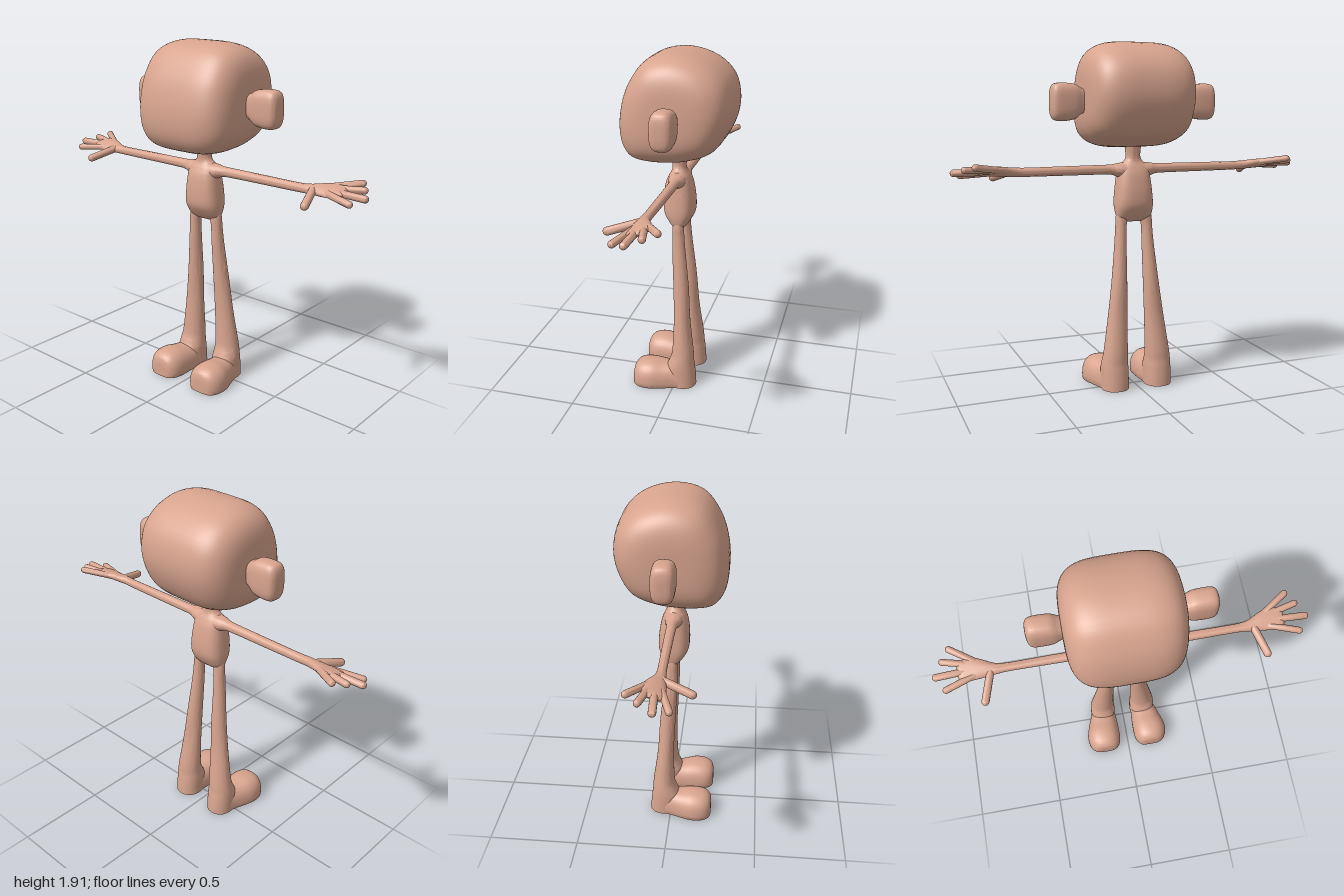
import * as THREE from 'three';
import { toCreasedNormals } from 'three/addons/utils/BufferGeometryUtils.js';

const skin = new THREE.MeshStandardMaterial({ color: 0xd8a48e });
const spow = (v, p) => Math.sign(v) * Math.abs(v) ** p;

// Closed skin over a list of rings, each turning counterclockwise around the direction of travel
function skinRings(rings) {
  const n = rings[0].length, pos = [], idx = [];
  rings.forEach(r => r.forEach(p => pos.push(p.x, p.y, p.z)));
  for (let i = 0; i < rings.length - 1; i++) {
    for (let j = 0; j < n; j++) {
      const k = (j + 1) % n, a = i * n + j, b = i * n + k;
      idx.push(a, b, b + n, a, b + n, a + n);
    }
  }
  [0, rings.length - 1].forEach(i => {
    const c = rings[i].reduce((s, p) => s.add(p), new THREE.Vector3()).divideScalar(n);
    const ci = pos.length / 3;
    pos.push(c.x, c.y, c.z);
    for (let j = 0; j < n; j++) {
      const a = i * n + j, b = i * n + (j + 1) % n;
      if (i === 0) idx.push(ci, b, a); else idx.push(ci, a, b);
    }
  });
  const g = new THREE.BufferGeometry();
  g.setAttribute('position', new THREE.Float32BufferAttribute(pos, 3));
  g.setIndex(idx);
  return g;
}

// Smooth loft of superellipses. Section: [t, a, b, radiusA, radiusB, exponent]
// with (t, a, b) = (x, y, z), (y, z, x) or (z, x, y) for axis x, y or z
function loft(axis, sections, adjust = () => {}) {
  const steps = 6, sides = 36, rings = [];
  const at = u => {
    const i = Math.min(Math.floor(u), sections.length - 2), f = u - i;
    const s = k => sections[THREE.MathUtils.clamp(k, 0, sections.length - 1)];
    return sections[0].map((_, c) => {
      const [p, q, r, w] = [s(i - 1)[c], s(i)[c], s(i + 1)[c], s(i + 2)[c]];
      const m0 = (r - p) / 2, m1 = (w - q) / 2;
      return q + f * (m0 + f * (3 * (r - q) - 2 * m0 - m1 + f * (2 * (q - r) + m0 + m1)));
    });
  };
  for (let k = 0; k <= (sections.length - 1) * steps; k++) {
    const [t, a, b, ra, rb, e] = at(k / steps), ring = [];
    for (let j = 0; j < sides; j++) {
      const th = j / sides * Math.PI * 2;
      const A = a + ra * spow(Math.cos(th), 2 / e), B = b + rb * spow(Math.sin(th), 2 / e);
      const p = axis === 'x' ? new THREE.Vector3(t, A, B)
        : axis === 'y' ? new THREE.Vector3(B, t, A) : new THREE.Vector3(A, B, t);
      adjust(p);
      ring.push(p);
    }
    rings.push(ring);
  }
  return skinRings(rings);
}

// Rounded finger between two points
function finger(from, to, r) {
  const a = new THREE.Vector3(...from), d = new THREE.Vector3(...to).sub(a), len = d.length();
  const g = new THREE.CapsuleGeometry(r, len - r, 8, 16);
  g.translate(0, (len - r) / 2, 0);
  g.applyQuaternion(new THREE.Quaternion().setFromUnitVectors(new THREE.Vector3(0, 1, 0), d.normalize()));
  return g.translate(a.x, a.y, a.z);
}

// Copy to the other side of x = 0, keeping faces outward
function mirrored(g) {
  const m = g.toNonIndexed(), p = m.attributes.position;
  for (let i = 0; i < p.count; i += 3) {
    const v = [0, 2, 1].map(k => new THREE.Vector3().fromBufferAttribute(p, i + k));
    v.forEach((q, k) => p.setXYZ(i + k, -q.x, q.y, q.z));
  }
  return m;
}

function headGeometry() {
  // Side outline as (z, y), from the crown over the face and round the back
  const outline = [[0, 1.91], [0.15, 1.875], [0.24, 1.765], [0.282, 1.65], [0.296, 1.52], [0.277, 1.42],
    [0.23, 1.362], [0.13, 1.342], [0.03, 1.344], [-0.07, 1.357], [-0.2, 1.41], [-0.27, 1.52],
    [-0.294, 1.645], [-0.262, 1.775], [-0.165, 1.866]];
  const curve = new THREE.CatmullRomCurve3(outline.map(([z, y]) => new THREE.Vector3(0, y, z)), true);
  const pts = curve.getPoints(60).slice(0, -1), rings = [], p = 3.7;
  for (let i = 0; i <= 48; i++) {
    const u = (i / 24 - 1) * (Math.PI / 2 - 0.01);
    const x = 0.3 * spow(Math.sin(u), 2 / p), s = Math.cos(u) ** (2 / p);
    rings.push(pts.map(q => new THREE.Vector3(x, 1.62 + (q.y - 1.62) * s, q.z * s)));
  }
  return skinRings(rings);
}

export function createModel() {
  const model = new THREE.Group();
  const add = (name, g) => {
    const mesh = new THREE.Mesh(toCreasedNormals(g, 0.9), skin);
    mesh.name = name;
    model.add(mesh);
  };
  const addPair = (name, g) => {
    add('left' + name, g);
    add('right' + name, mirrored(g));
  };

  add('head', headGeometry());

  // Torso running up into the neck
  add('torso', loft('y', [
    [0.935, -0.002, 0, 0.012, 0.05, 2.6], [0.947, 0, 0, 0.03, 0.087, 2.6], [0.975, 0.002, 0, 0.054, 0.102, 2.7],
    [1.03, 0.006, 0, 0.081, 0.107, 2.8], [1.11, 0.008, 0, 0.083, 0.101, 2.8], [1.19, 0.01, 0, 0.072, 0.092, 2.7],
    [1.235, 0.01, 0, 0.055, 0.086, 2.5], [1.257, 0.01, 0, 0.043, 0.066, 2.3], [1.278, 0.011, 0, 0.038, 0.046, 2],
    [1.31, 0.012, 0, 0.04, 0.041, 2], [1.38, 0.012, 0, 0.048, 0.05, 2]]));

  addPair('Ear', loft('x', [
    [0.28, 1.595, -0.01, 0.06, 0.046, 3], [0.31, 1.595, -0.01, 0.07, 0.053, 3], [0.345, 1.592, -0.011, 0.092, 0.06, 3.2],
    [0.4, 1.59, -0.012, 0.1, 0.061, 3.2], [0.445, 1.59, -0.012, 0.097, 0.058, 3.2], [0.465, 1.59, -0.012, 0.08, 0.046, 3],
    [0.473, 1.59, -0.012, 0.045, 0.025, 2.6], [0.474, 1.59, -0.012, 0.005, 0.004, 2]]));

  // Arm and palm; the palm tilts down towards the thumb
  const tilt = z => -0.27 * z;
  addPair('Arm', loft('x', [
    [0.04, 1.218, 0.008, 0.045, 0.052, 2], [0.09, 1.22, 0.008, 0.038, 0.044, 2], [0.13, 1.224, 0.006, 0.028, 0.03, 2],
    [0.2, 1.225, 0.004, 0.026, 0.026, 2], [0.42, 1.225, 0.003, 0.025, 0.024, 2], [0.6, 1.225, 0.003, 0.024, 0.023, 2],
    [0.67, 1.228, 0.002, 0.024, 0.029, 2], [0.74, 1.231, -0.009, 0.024, 0.047, 2.1], [0.8, 1.232, -0.015, 0.021, 0.058, 2.2],
    [0.845, 1.232, -0.011, 0.018, 0.05, 2.2], [0.865, 1.232, -0.008, 0.011, 0.032, 2], [0.87, 1.232, -0.008, 0.002, 0.005, 2]],
  p => { p.y += tilt(p.z) * THREE.MathUtils.smoothstep(p.x, 0.6, 0.75); }));

  // Fingers and thumb: root x, z, tip x, z, radius
  const digits = {
    Thumb: [0.7, 0.015, 0.755, 0.178, 0.021], IndexFinger: [0.78, 0.018, 0.955, 0.075, 0.018],
    MiddleFinger: [0.78, -0.01, 1, 0, 0.019], RingFinger: [0.78, -0.035, 0.955, -0.076, 0.018],
    LittleFinger: [0.74, -0.03, 0.909, -0.14, 0.018]
  };
  for (const [name, [x0, z0, x1, z1, r]] of Object.entries(digits)) {
    addPair(name, finger([x0, 1.232 + tilt(z0), z0], [x1, 1.232 + tilt(z1), z1], r));
  }

  // Leg widening down to the heel
  addPair('Leg', loft('y', [
    [0, -0.035, 0.128, 0.085, 0.077, 2.2], [0.05, -0.034, 0.128, 0.083, 0.077, 2.2], [0.11, -0.03, 0.128, 0.081, 0.077, 2.2],
    [0.15, -0.035, 0.128, 0.071, 0.074, 2.1], [0.21, -0.041, 0.124, 0.061, 0.069, 2], [0.4, -0.032, 0.109, 0.046, 0.056, 2],
    [0.6, -0.022, 0.094, 0.043, 0.044, 2], [0.8, -0.007, 0.082, 0.037, 0.034, 2], [0.9, -0.002, 0.077, 0.033, 0.031, 2],
    [0.95, 0, 0.072, 0.032, 0.034, 2], [1, 0, 0.068, 0.03, 0.03, 2]]));

  // Foot with a flat sole, wider at the toes
  addPair('Foot', loft('z', [
    [-0.06, 0.128, 0.03, 0.072, 0.08, 2.4], [0, 0.133, 0.03, 0.08, 0.1, 2.4], [0.06, 0.141, 0.03, 0.093, 0.103, 2.4],
    [0.12, 0.149, 0.03, 0.103, 0.112, 2.4], [0.17, 0.15, 0.03, 0.102, 0.11, 2.4], [0.205, 0.149, 0.03, 0.09, 0.1, 2.4],
    [0.228, 0.148, 0.03, 0.068, 0.08, 2.4], [0.236, 0.147, 0.03, 0.042, 0.052, 2.3], [0.237, 0.147, 0.03, 0.01, 0.03, 2]],
  p => { p.y = Math.max(p.y, 0); }));

  return model;
}
